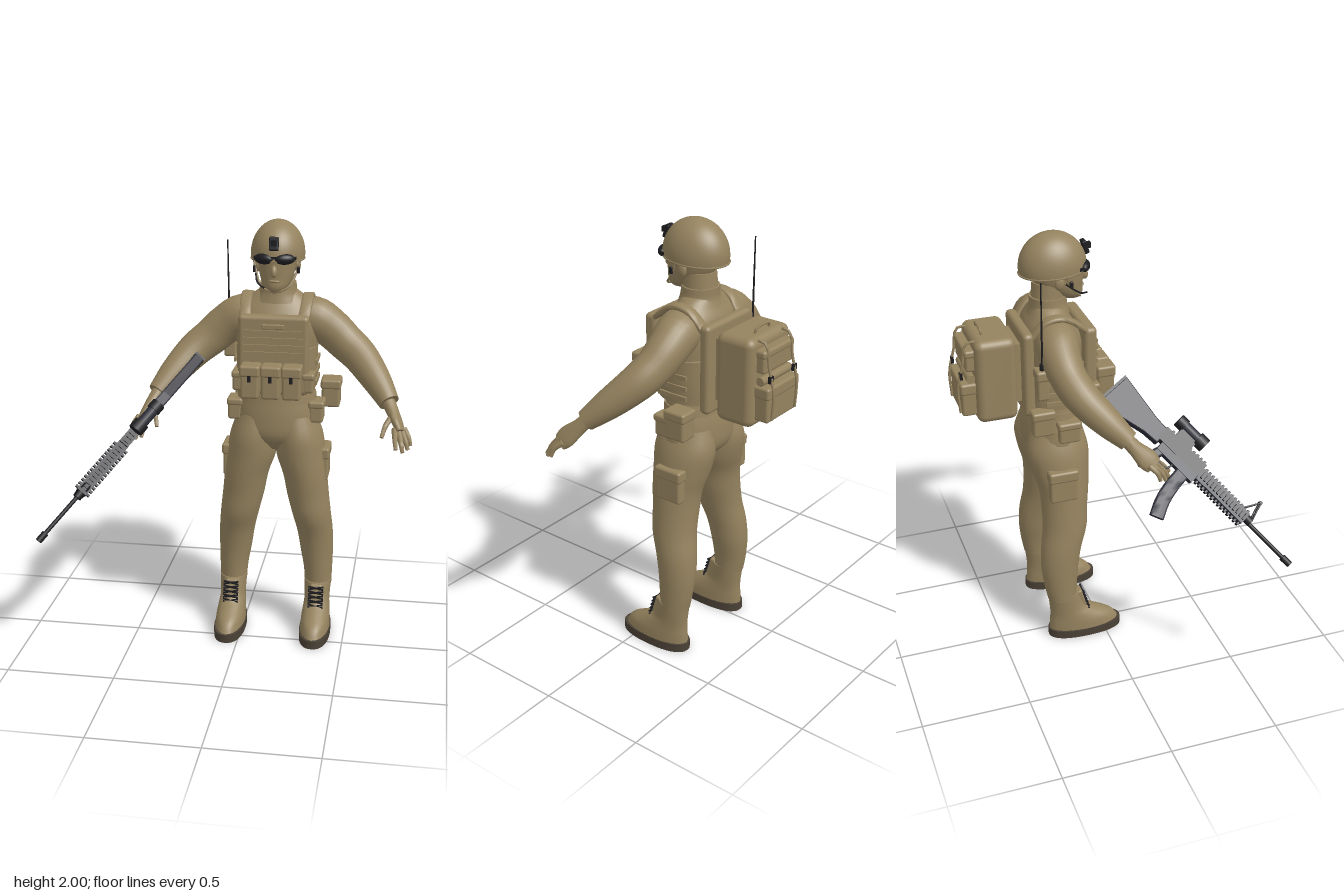
import * as THREE from 'three';
import { toCreasedNormals } from 'three/addons/utils/BufferGeometryUtils.js';
import { RoundedBoxGeometry } from 'three/addons/geometries/RoundedBoxGeometry.js';

const V = (x, y, z) => new THREE.Vector3(x, y, z);
const UP = V(0, 1, 0), X = V(1, 0, 0), Z = V(0, 0, 1);
const mat = (name, color) => Object.assign(new THREE.MeshStandardMaterial({ color }), { name });
const sand = mat('sand fabric', 0x95835f), black = mat('black metal', 0x1e1e22);
const slate = mat('slate polymer', 0x2b2c37), rubber = mat('brown rubber', 0x4a4136);
sand.side = THREE.DoubleSide;

// Smooth skin through sections [x, y, z, radiusA, radiusB]; tangent may be fixed for level sections
function loft(keys, { ref = X, tangent = null, sides = 24, sub = 4, power = 1 } = {}) {
  const path = new THREE.CatmullRomCurve3(keys.map(k => V(k[0], k[1], k[2])), false, 'catmullrom');
  const size = new THREE.CatmullRomCurve3(keys.map(k => V(k[3], k[4], 0)), false, 'catmullrom');
  const n = (keys.length - 1) * sub, pos = [], idx = [];
  const bend = v => Math.sign(v) * Math.abs(v) ** power;
  for (let i = 0; i <= n; i++) {
    const c = path.getPoint(i / n), r = size.getPoint(i / n);
    const t = tangent || path.getTangent(i / n);
    const a = ref.clone().addScaledVector(t, -ref.dot(t)).normalize(), b = t.clone().cross(a);
    for (let j = 0; j < sides; j++) {
      const q = j / sides * Math.PI * 2;
      pos.push(...c.clone().addScaledVector(a, r.x * bend(Math.cos(q))).addScaledVector(b, r.y * bend(Math.sin(q))).toArray());
    }
  }
  for (let i = 0; i < n; i++) for (let j = 0; j < sides; j++) {
    const k = (j + 1) % sides, p = i * sides, q = p + sides;
    idx.push(p + j, p + k, q + k, p + j, q + k, q + j);
  }
  const first = pos.length / 3, last = n * sides;
  pos.push(...keys[0].slice(0, 3), ...keys[keys.length - 1].slice(0, 3));
  for (let j = 0; j < sides; j++) {
    const k = (j + 1) % sides;
    idx.push(first, k, j, first + 1, last + j, last + k);
  }
  const g = new THREE.BufferGeometry();
  g.setAttribute('position', new THREE.Float32BufferAttribute(pos, 3));
  g.setIndex(idx);
  return toCreasedNormals(g, 1);
}

function add(parent, name, geo, material, p = [0, 0, 0], r = [0, 0, 0]) {
  const m = new THREE.Mesh(geo, material);
  m.name = name;
  m.position.set(...p);
  m.rotation.set(...r);
  parent.add(m);
  return m;
}
const box = (w, h, d) => new THREE.BoxGeometry(w, h, d);
const soft = (w, h, d, r = 0.012) => new RoundedBoxGeometry(w, h, d, 3, Math.min(r, w / 2.1, h / 2.1, d / 2.1));
const ball = (a, b, c) => new THREE.SphereGeometry(1, 24, 16).scale(a, b, c);
const level = { tangent: UP };
const wire = (pts, r) => new THREE.TubeGeometry(new THREE.CatmullRomCurve3(pts.map(p => V(...p))), 16, r, 6);

// Pouch with an overlapping flap on its upper part
function pouch(parent, name, w, h, d, p) {
  add(parent, name, soft(w, h, d), sand, p);
  add(parent, name + ' flap', soft(w + 0.01, h * 0.35, d + 0.01), sand, [p[0], p[1] + h * 0.35, p[2]]);
}

function buildHead(body) {
  add(body, 'head', loft([[0, 1.69, -0.075, 0.028, 0.038], [0, 1.715, -0.095, 0.056, 0.07], [0, 1.755, -0.125, 0.075, 0.1],
    [0, 1.8, -0.14, 0.085, 0.118], [0, 1.86, -0.145, 0.09, 0.122], [0, 1.93, -0.15, 0.07, 0.1]], level), sand);
  add(body, 'neck', loft([[0, 1.6, -0.19, 0.1, 0.09], [0, 1.68, -0.185, 0.078, 0.078], [0, 1.78, -0.175, 0.072, 0.078]], level), sand);
  add(body, 'collar', loft([[0, 1.63, -0.185, 0.115, 0.095], [0, 1.67, -0.183, 0.089, 0.085], [0, 1.715, -0.185, 0.083, 0.082]], level), sand);
  add(body, 'nose', ball(0.015, 0.028, 0.02), sand, [0, 1.79, -0.018], [-0.3, 0, 0]);
  add(body, 'mouth', ball(0.026, 0.007, 0.012), sand, [0, 1.745, -0.031]);
  // Helmet shell with rim and mount
  add(body, 'helmet', new THREE.SphereGeometry(1, 40, 20, 0, Math.PI * 2, 0, Math.PI * 0.545).scale(0.122, 0.152, 0.152), sand, [0, 1.848, -0.16], [-0.05, 0, 0]);
  add(body, 'helmet rim', new THREE.TorusGeometry(1, 0.035, 6, 40).rotateX(Math.PI / 2).scale(0.12, 0.12, 0.151), sand, [0, 1.828, -0.159], [-0.05, 0, 0]);
  add(body, 'helmet mount', soft(0.042, 0.06, 0.02, 0.004), black, [0, 1.915, -0.012], [-0.3, 0, 0]);
  add(body, 'mount clip', box(0.024, 0.024, 0.025), black, [0, 1.92, 0.002]);
  for (const s of [-1, 1]) {
    add(body, 'goggle lens', ball(0.046, 0.024, 0.024), black, [s * 0.047, 1.845, -0.027], [0, s * 0.35, 0]);
    add(body, 'goggle arm', box(0.006, 0.014, 0.1), black, [s * 0.091, 1.845, -0.09]);
    add(body, 'ear', ball(0.014, 0.032, 0.022), sand, [s * 0.09, 1.795, -0.155]);
    add(body, 'chin strap', wire([[s * 0.108, 1.835, -0.13], [s * 0.09, 1.77, -0.105], [s * 0.06, 1.715, -0.055], [0, 1.69, -0.04]], 0.005), sand);
    add(body, 'strap buckle', soft(0.012, 0.03, 0.016, 0.004), black, [s * 0.1, 1.785, -0.105]);
  }
  add(body, 'goggle bridge', box(0.03, 0.01, 0.012), black, [0, 1.853, -0.012]);
  add(body, 'microphone', wire([[-0.095, 1.79, -0.13], [-0.08, 1.735, -0.06], [-0.04, 1.715, -0.015]], 0.004), black);
}

function buildLimbs(body, s) {
  // Leg, boot and sole
  add(body, 'trouser leg', loft([[0.09, 1.1, -0.185, 0.09, 0.12], [0.106, 1, -0.185, 0.112, 0.144], [0.118, 0.9, -0.178, 0.117, 0.135],
    [0.14, 0.8, -0.168, 0.105, 0.117], [0.155, 0.7, -0.17, 0.1, 0.108], [0.173, 0.6, -0.175, 0.093, 0.105], [0.19, 0.5, -0.198, 0.086, 0.097],
    [0.199, 0.4, -0.21, 0.079, 0.09], [0.207, 0.3, -0.21, 0.069, 0.08], [0.209, 0.22, -0.205, 0.065, 0.07]]
    .map(k => [s * k[0], ...k.slice(1)]).reverse(), level), sand);
  const fx = s * 0.208;
  add(body, 'boot', loft([[fx, 0.03, -0.093, 0.071, 0.177], [fx, 0.08, -0.11, 0.069, 0.158], [fx, 0.12, -0.145, 0.064, 0.12],
    [fx, 0.16, -0.178, 0.061, 0.088], [fx, 0.245, -0.2, 0.066, 0.075]], level), sand);
  add(body, 'boot sole', loft([[fx, 0, -0.093, 0.074, 0.182], [fx, 0.04, -0.093, 0.074, 0.182]], { ...level, sub: 1, sides: 32, power: 0.85 }), rubber);
  add(body, 'boot tongue', soft(0.06, 0.1, 0.03), sand, [fx, 0.195, -0.112], [-0.28, 0, 0]);
  for (let i = 0; i < 5; i++) for (const k of [-1, 1])
    add(body, 'boot lace', box(0.075, 0.006, 0.008), black, [fx, 0.145 + i * 0.021, -0.079 - i * 0.006], [0, 0, k * 0.2]);
  // Arm and open hand
  add(body, 'sleeve', loft([[0.07, 1.54, -0.19, 0.08, 0.08], [0.16, 1.55, -0.195, 0.095, 0.098], [0.24, 1.505, -0.198, 0.088, 0.092], [0.31, 1.445, -0.185, 0.08, 0.086],
    [0.385, 1.385, -0.15, 0.077, 0.08], [0.465, 1.3, -0.07, 0.066, 0.066], [0.528, 1.222, 0.01, 0.047, 0.047]].map(k => [s * k[0], ...k.slice(1)]), { ref: Z }), sand);
  add(body, 'hand', loft([[0.52, 1.23, 0, 0.032, 0.032], [0.545, 1.19, 0.035, 0.035, 0.028], [0.572, 1.145, 0.078, 0.048, 0.022], [0.588, 1.115, 0.105, 0.04, 0.017]]
    .map(k => [s * k[0], ...k.slice(1)]), { ref: Z, sides: 16 }), sand);
  const fingers = [[[0.56, 1.13, 0.11], [0.565, 1.095, 0.155], [0.57, 1.06, 0.185]], [[0.575, 1.125, 0.105], [0.59, 1.085, 0.15], [0.6, 1.045, 0.175]],
    [[0.59, 1.12, 0.095], [0.61, 1.085, 0.135], [0.622, 1.05, 0.15]], [[0.6, 1.125, 0.08], [0.622, 1.095, 0.11], [0.632, 1.06, 0.122]],
    [[0.545, 1.175, 0.06], [0.52, 1.145, 0.11], [0.505, 1.1, 0.145]]];
  for (const f of fingers)
    add(body, 'finger', loft(f.map((p, i) => [s * p[0], p[1], p[2], 0.0145 - i * 0.003, 0.0145 - i * 0.003]), { ref: Z, sides: 8 }), sand);
  // Pockets and hip pouches
  pouch(body, 'thigh pocket', 0.05, 0.155, 0.13, [s * 0.225, 0.857, -0.195]);
  pouch(body, 'hip pouch', 0.065, 0.1, 0.1, [s * 0.19, 1.12, -0.155]);
}

function buildVest(body) {
  add(body, 'vest', loft([[0, 1.23, -0.178, 0.182, 0.147], [0, 1.32, -0.178, 0.187, 0.152], [0, 1.43, -0.178, 0.187, 0.152]], { ...level, power: 0.8, sides: 32 }), sand);
  add(body, 'front plate', soft(0.32, 0.365, 0.06, 0.02), sand, [0, 1.41, -0.035]);
  add(body, 'back plate', soft(0.31, 0.4, 0.05, 0.02), sand, [0, 1.4, -0.317]);
  for (let i = 0; i < 4; i++) {
    add(body, 'webbing row', box(0.27, 0.017, 0.01), sand, [0, 1.42 + i * 0.033, -0.002]);
    for (const y of [1.265, 1.31, 1.36]) add(body, 'side webbing', box(0.01, 0.02, 0.15), sand, [(i % 2 ? 1 : -1) * 0.187, y, -0.178]);
  }
  add(body, 'chest tab', soft(0.1, 0.022, 0.014, 0.004), sand, [0, 1.545, 0]);
  for (let i = -1; i <= 1; i++) {
    pouch(body, 'magazine pouch', 0.082, 0.15, 0.08, [i * 0.094, 1.305, 0.045]);
    add(body, 'pouch clip', box(0.014, 0.03, 0.008), black, [i * 0.094, 1.325, 0.089]);
  }
  for (const s of [-1, 1]) {
    add(body, 'shoulder strap', loft([[0.125, 1.54, -0.02, 0.026, 0.01], [0.135, 1.6, -0.075, 0.026, 0.012], [0.14, 1.652, -0.155, 0.026, 0.012],
      [0.138, 1.64, -0.24, 0.026, 0.012], [0.12, 1.55, -0.315, 0.026, 0.01]].map(k => [s * k[0], ...k.slice(1)]), { power: 0.5, sides: 16 }), sand);
    pouch(body, 'side pouch', 0.05, 0.09, 0.07, [s * 0.16, 1.285, -0.04]);
  }
  add(body, 'belt', loft([[0, 1.165, -0.18, 0.188, 0.133], [0, 1.205, -0.18, 0.183, 0.13]], { ...level, sub: 1 }), sand);
  pouch(body, 'canteen pouch', 0.085, 0.13, 0.1, [0.247, 1.18, -0.265]);
  pouch(body, 'utility pouch', 0.06, 0.12, 0.1, [-0.175, 1.175, -0.27]);
  // Radio with whip antenna
  pouch(body, 'radio pouch', 0.06, 0.14, 0.055, [-0.235, 1.4, -0.285]);
  add(body, 'radio bracket', box(0.09, 0.05, 0.03), sand, [-0.18, 1.38, -0.28]);
  add(body, 'radio knob', new THREE.CylinderGeometry(0.012, 0.012, 0.03, 12), black, [-0.243, 1.485, -0.285]);
  add(body, 'antenna', new THREE.CylinderGeometry(0.003, 0.005, 0.4, 8), black, [-0.246, 1.68, -0.285], [0, 0, 0.02]);
}

function buildPack(body) {
  const pack = new THREE.Group();
  pack.name = 'backpack';
  body.add(pack);
  add(pack, 'pack body', soft(0.29, 0.395, 0.185, 0.035), sand, [0, 1.39, -0.46]);
  add(pack, 'pack frame', box(0.2, 0.28, 0.06), sand, [0, 1.4, -0.35]);
  pouch(pack, 'lower pack pocket', 0.22, 0.155, 0.075, [0, 1.305, -0.578]);
  pouch(pack, 'upper pack pocket', 0.21, 0.1, 0.05, [0, 1.49, -0.565]);
  add(pack, 'pack roll', new THREE.CylinderGeometry(0.02, 0.02, 0.21, 12), sand, [0, 1.405, -0.57], [0, 0, Math.PI / 2]);
  add(pack, 'carry handle', wire([[-0.05, 1.58, -0.5], [-0.045, 1.605, -0.505], [0.045, 1.605, -0.505], [0.05, 1.58, -0.5]], 0.006), sand);
  for (const s of [-1, 1]) {
    add(pack, 'pack strap', wire([[s * 0.085, 1.57, -0.5], [s * 0.085, 1.57, -0.58], [s * 0.085, 1.47, -0.6], [s * 0.085, 1.36, -0.625], [s * 0.085, 1.24, -0.62]], 0.006), sand);
    add(pack, 'strap buckle', box(0.024, 0.03, 0.012), black, [s * 0.085, 1.42, -0.61]);
  }
}

// Rifle along local +x with its muzzle at the origin
function buildRifle(root) {
  const gun = new THREE.Group();
  gun.name = 'rifle';
  const f = V(-0.545, -0.62, 0.565).normalize(), u = V(0.34, 0.45, 0.82);
  u.addScaledVector(f, -u.dot(f)).normalize();
  gun.setRotationFromMatrix(new THREE.Matrix4().makeBasis(f, u, f.clone().cross(u)));
  gun.position.set(-0.78, 0.71, 0.615);
  root.add(gun);
  const rod = (name, t0, t1, y, r, m = black) =>
    add(gun, name, new THREE.CylinderGeometry(r, r, t1 - t0, 16), m, [-(t0 + t1) / 2, y, 0], [0, 0, Math.PI / 2]);
  const block = (name, t0, t1, y, h, w, m = black) => add(gun, name, box(t1 - t0, h, w), m, [-(t0 + t1) / 2, y, 0]);
  rod('barrel', 0, 0.32, 0, 0.009);
  rod('muzzle brake', 0, 0.045, 0, 0.015);
  rod('gas block', 0.25, 0.29, 0.01, 0.02);
  block('handguard', 0.28, 0.56, 0, 0.058, 0.05, slate);
  for (let i = 0; i < 14; i++) {
    const t = 0.285 + i * 0.0195;
    block('rail rib', t, t + 0.01, 0, 0.084, 0.026);
    block('rail rib', t, t + 0.01, 0, 0.03, 0.076);
  }
  block('upper receiver', 0.56, 0.8, 0.015, 0.065, 0.048);
  block('lower receiver', 0.56, 0.77, -0.03, 0.05, 0.042, slate);
  for (let i = 0; i < 10; i++) block('top rail rib', 0.57 + i * 0.021, 0.581 + i * 0.021, 0.052, 0.014, 0.028);
  // Optic
  block('optic mount', 0.66, 0.75, 0.07, 0.045, 0.03);
  rod('optic tube', 0.63, 0.78, 0.112, 0.025, slate);
  rod('optic front', 0.625, 0.67, 0.112, 0.034);
  rod('optic eyepiece', 0.745, 0.785, 0.112, 0.031);
  // Front sight frame
  for (const s of [-1, 1]) {
    add(gun, 'sight leg', wire([[-0.25, 0.01, s * 0.012], [-0.265, 0.06, s * 0.018], [-0.275, 0.105, s * 0.012]], 0.004), black);
    add(gun, 'sight brace', wire([[-0.32, 0.03, s * 0.012], [-0.295, 0.07, s * 0.014], [-0.275, 0.105, s * 0.012]], 0.004), black);
  }
  block('sight bar', 0.268, 0.282, 0.105, 0.01, 0.034);
  // Curved magazine, grip and trigger guard
  add(gun, 'magazine', loft([[-0.615, -0.03, 0, 0.032, 0.015], [-0.61, -0.12, 0, 0.032, 0.015], [-0.595, -0.2, 0, 0.032, 0.015], [-0.565, -0.272, 0, 0.032, 0.015]],
    { power: 0.35, sides: 16 }), slate);
  add(gun, 'pistol grip', soft(0.045, 0.13, 0.034), slate, [-0.765, -0.1, 0], [0, 0, -0.3]);
  add(gun, 'trigger guard', wire([[-0.67, -0.05, 0], [-0.68, -0.085, 0], [-0.73, -0.085, 0], [-0.74, -0.05, 0]], 0.005), black);
  // Shoulder stock
  const shape = new THREE.Shape([[-0.79, 0.035], [-0.86, 0.038], [-1.075, 0.072], [-1.085, -0.085], [-1.06, -0.088], [-0.86, -0.04], [-0.79, -0.035]].map(p => new THREE.Vector2(...p)));
  add(gun, 'stock', new THREE.ExtrudeGeometry(shape, { depth: 0.036, bevelSize: 0.005, bevelThickness: 0.006, bevelSegments: 2 }), slate, [0, 0, -0.018]);
  add(gun, 'butt pad', box(0.012, 0.165, 0.052), black, [-1.088, -0.007, 0], [0, 0, -0.06]);
}

export function createModel() {
  const root = new THREE.Group(), body = new THREE.Group();
  root.name = 'soldier';
  body.name = 'figure';
  body.position.x = 0.153;
  root.add(body);
  // Torso from pelvis to neck base
  add(body, 'torso', loft([[0, 0.93, -0.18, 0.06, 0.07], [0, 1, -0.183, 0.19, 0.132], [0, 1.1, -0.183, 0.196, 0.138], [0, 1.2, -0.18, 0.178, 0.126], [0, 1.3, -0.178, 0.172, 0.125],
    [0, 1.42, -0.178, 0.188, 0.138], [0, 1.52, -0.18, 0.2, 0.137], [0, 1.59, -0.188, 0.195, 0.112], [0, 1.64, -0.19, 0.14, 0.085], [0, 1.68, -0.19, 0.085, 0.07]], { ...level, sides: 32 }), sand);
  buildHead(body);
  for (const s of [-1, 1]) buildLimbs(body, s);
  buildVest(body);
  buildPack(body);
  buildRifle(root);
  return root;
}
